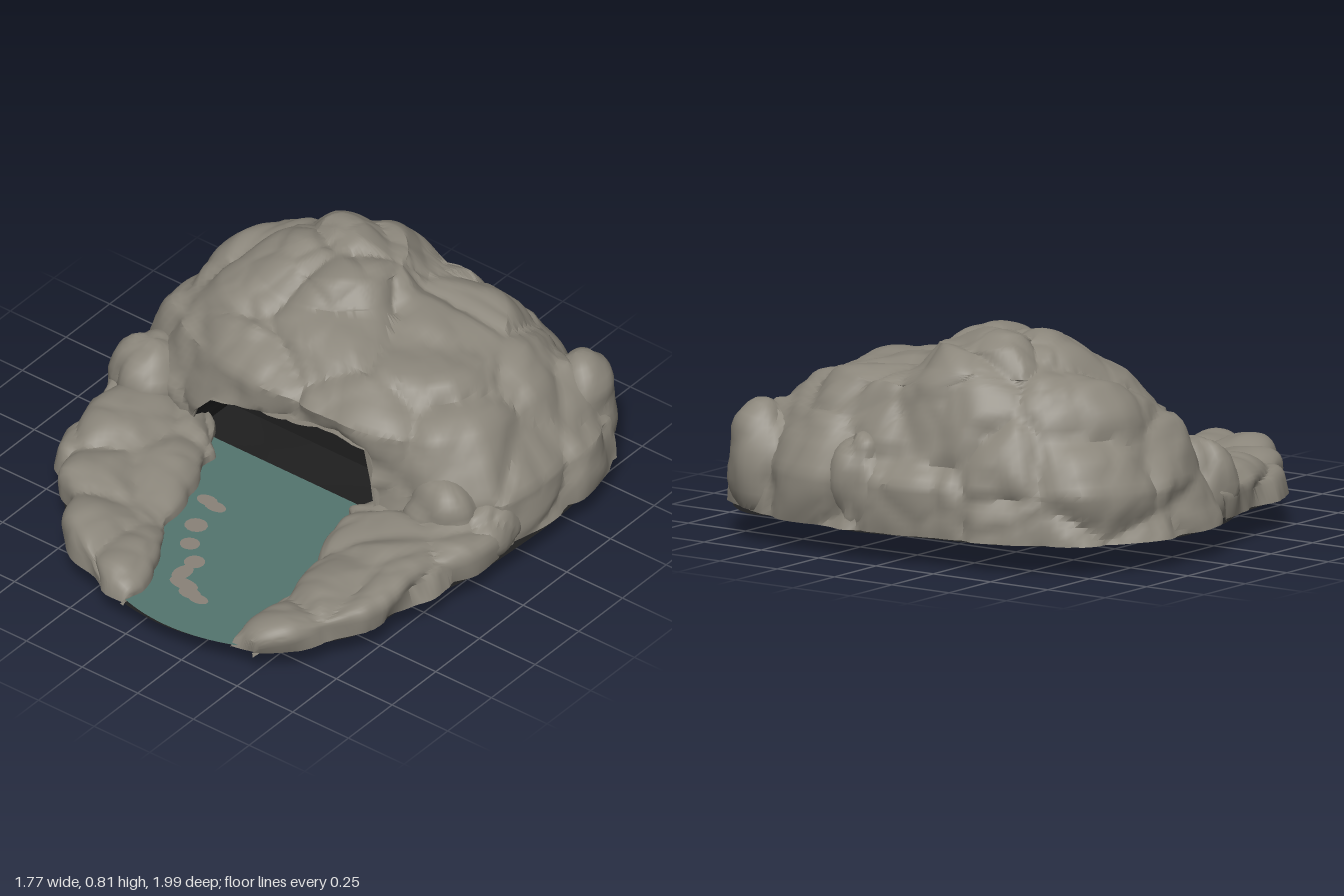
import * as THREE from 'three';
import { toCreasedNormals } from 'three/addons/utils/BufferGeometryUtils.js';

const mat = (name, color, side = THREE.FrontSide) => {
  const m = new THREE.MeshStandardMaterial({ color, side });
  m.name = name;
  return m;
};
const BASE = 0.11;

// Piecewise linear lookup in rows of [key, value, value, ...]
function lookup(table, key, col = 1) {
  if (key <= table[0][0]) return table[0][col];
  for (let i = 1; i < table.length; i++) {
    const a = table[i - 1], b = table[i];
    if (key <= b[0]) return a[col] + (b[col] - a[col]) * (key - a[0]) / (b[0] - a[0]);
  }
  return table[table.length - 1][col];
}

// Cellular noise: 1 on the face of a rock lump, 0 in the cracks between lumps
const hash = (x, y, z, k) => {
  const s = Math.sin(x * 127.1 + y * 311.7 + z * 74.7 + k * 53.3) * 43758.5453;
  return s - Math.floor(s);
};
function lumps(p, size) {
  const q = [p.x / size, p.y / size, p.z / size], c = q.map(Math.floor);
  let f1 = 9, f2 = 9;
  for (let i = -1; i < 2; i++) for (let j = -1; j < 2; j++) for (let k = -1; k < 2; k++) {
    const X = c[0] + i, Y = c[1] + j, Z = c[2] + k;
    const d = Math.hypot(X + hash(X, Y, Z, 0) - q[0], Y + hash(X, Y, Z, 1) - q[1], Z + hash(X, Y, Z, 2) - q[2]);
    if (d < f1) { f2 = f1; f1 = d; } else if (d < f2) f2 = d;
  }
  const f = Math.min(1, (f2 - f1) * 1.5);
  return f * (2 - f);
}

// Surface through rows of points, optionally closed around each row
function loft(rows, closed) {
  const n = rows[0].length, index = [], pos = [];
  rows.forEach(r => r.forEach(p => pos.push(p.x, p.y, p.z)));
  for (let i = 0; i < rows.length - 1; i++) for (let j = 0; j < (closed ? n : n - 1); j++) {
    const k = (j + 1) % n, a = i * n + j, b = i * n + k, c = b + n, d = a + n;
    index.push(a, b, c, a, c, d);
  }
  const g = new THREE.BufferGeometry();
  g.setAttribute('position', new THREE.Float32BufferAttribute(pos, 3));
  g.setIndex(index);
  g.computeVertexNormals();
  return g;
}

// Pushes a surface out into lumps and keeps creases between them
function roughen(g, amount, adjust) {
  const pos = g.attributes.position, nor = g.attributes.normal;
  const p = new THREE.Vector3(), n = new THREE.Vector3();
  for (let i = 0; i < pos.count; i++) {
    p.fromBufferAttribute(pos, i);
    n.fromBufferAttribute(nor, i);
    const d = amount * (lumps(p, 0.36) - 0.7) + amount * 0.25 * (lumps(p, 0.2) - 0.7);
    p.addScaledVector(n, d);
    p.y = Math.max(p.y, BASE);
    if (adjust) adjust(p);
    pos.setXYZ(i, p.x, p.y, p.z);
  }
  return toCreasedNormals(g, 0.75);
}

// Height of the cave mouth across x
const ARCH = [[-0.46, 0.1], [-0.42, 0.25], [-0.32, 0.36], [0, 0.41], [0.2, 0.44], [0.36, 0.43], [0.385, 0.1]];

// Mound levels: height, centre x, centre z, radii from the front round by the left
const same = r => Array(16).fill(r);
const LEVELS = [
  [BASE, 0, -0.45, [0.53, 0.57, 0.72, 0.92, 0.88, 0.9, 0.71, 0.58, 0.51, 0.52, 0.62, 0.79, 0.88, 0.94, 0.75, 0.57]],
  [0.29, 0, -0.45, [0.54, 0.58, 0.72, 0.9, 0.85, 0.87, 0.68, 0.57, 0.51, 0.51, 0.61, 0.77, 0.85, 0.89, 0.74, 0.58]],
  [0.5, 0, -0.45, [0.53, 0.57, 0.68, 0.72, 0.67, 0.70, 0.58, 0.46, 0.42, 0.43, 0.53, 0.65, 0.73, 0.77, 0.67, 0.56]],
  [0.63, -0.03, -0.45, [0.39, 0.42, 0.5, 0.56, 0.53, 0.5, 0.44, 0.38, 0.36, 0.37, 0.43, 0.52, 0.58, 0.57, 0.51, 0.42]],
  [0.68, -0.16, -0.47, [0.28, 0.27, 0.27, 0.29, 0.3, 0.3, 0.3, 0.3, 0.3, 0.3, 0.32, 0.35, 0.36, 0.36, 0.33, 0.3]],
  [0.765, -0.16, -0.48, same(0.22)],
  [0.8, -0.22, -0.5, same(0.1)],
  [0.81, -0.24, -0.5, same(0)],
];

function moundGeometry() {
  const rows = [], N = 176, SUB = 8;
  for (let i = 0; i <= (LEVELS.length - 1) * SUB; i++) {
    const k = Math.min(Math.floor(i / SUB), LEVELS.length - 2), t = i / SUB - k;
    const A = LEVELS[k], B = LEVELS[k + 1], mix = (a, b) => a + (b - a) * t, row = [];
    for (let j = 0; j < N; j++) {
      const s = j / N * 16, m = Math.floor(s), f = s - m, a = j / N * Math.PI * 2;
      const rad = L => L[3][m] * (1 - f) + L[3][(m + 1) % 16] * f;
      const r = mix(rad(A), rad(B));
      row.push(new THREE.Vector3(mix(A[1], B[1]) + Math.sin(a) * r, mix(A[0], B[0]), mix(A[2], B[2]) + Math.cos(a) * r));
    }
    rows.push(row);
  }
  return roughen(loft(rows, true), 0.045, p => {
    if (p.z > -0.2) p.y = Math.max(p.y, lookup(ARCH, p.x));
  });
}

// Rock banks: z, right edge, left edge
const RIGHT_BANK = [[-0.05, -0.87, -0.40], [0.1, -0.82, -0.28], [0.2, -0.8, -0.26], [0.35, -0.78, -0.23], [0.5, -0.71, -0.17],
  [0.6, -0.63, -0.12], [0.7, -0.5, -0.08], [0.8, -0.43, -0.04], [0.9, -0.31, -0.01], [0.99, -0.15, -0.02]];
const LEFT_BANK = [[-0.05, 0.40, 0.87], [0.1, 0.27, 0.86], [0.2, 0.32, 0.84], [0.35, 0.35, 0.79], [0.5, 0.4, 0.79],
  [0.6, 0.41, 0.77], [0.75, 0.4, 0.7], [0.85, 0.41, 0.64], [0.95, 0.42, 0.53]];
const BANK_HEIGHT = [[0.3, 0.165], [0.5, 0.14], [1, 0.135]];

function bankGeometry(table) {
  const rows = [], M = 56, z0 = table[0][0], z1 = table[table.length - 1][0];
  const outer = Math.sign(table[0][1]);
  for (let i = M; i >= 0; i--) {
    const s = i / M, z = z0 + (z1 - z0) * s, a = lookup(table, z, 1), b = lookup(table, z, 2), row = [];
    const high = lookup(BANK_HEIGHT, z) * Math.sqrt(1 - s ** 12);
    for (let j = 0; j <= 28; j++) {
      const phi = (j / 28 - 0.5) * Math.PI, u = Math.sin(phi);
      const y = BASE + high * Math.max(0, Math.cos(phi)) ** 0.45 * (0.9 + 0.2 * u * outer);
      row.push(new THREE.Vector3((a + b) / 2 + (b - a) / 2 * u, y, z));
    }
    rows.push(row);
  }
  return roughen(loft(rows, false), 0.045);
}

// Footprint, from the front round by the left: x, z
const FOOTPRINT = [[0.18, 0.99], [0.43, 0.93], [0.57, 0.86], [0.65, 0.75], [0.74, 0.6], [0.77, 0.35], [0.83, 0.15], [0.86, -0.15],
  [0.86, -0.45], [0.79, -0.77], [0.61, -0.92], [0.4, -0.89], [0.14, -0.97], [-0.15, -0.92], [-0.43, -0.87], [-0.7, -0.71],
  [-0.86, -0.45], [-0.86, -0.1], [-0.79, 0.1], [-0.75, 0.35], [-0.61, 0.58], [-0.41, 0.78], [-0.2, 0.92], [-0.05, 0.97]];
// Lumps hanging below: x, z, depth, spread
const SAGS = [[0.37, 0.3, 0.105, 0.06], [0.7, 0.03, 0.065, 0.05], [-0.47, 0.1, 0.03, 0.13], [0.3, -0.2, 0.02, 0.2], [-0.3, -0.5, 0.015, 0.2]];

function undersideGeometry() {
  const curve = new THREE.CatmullRomCurve3(FOOTPRINT.map(([x, z]) => new THREE.Vector3(x, 0, z)), true);
  const ring = curve.getPoints(120).slice(0, -1), rows = [];
  for (let i = 0; i <= 36; i++) rows.push(ring.map(p => {
    const x = p.x * i / 36, z = p.z * i / 36;
    const y = SAGS.reduce((h, [sx, sz, d, w]) => h - d * Math.exp(-((x - sx) ** 2 + (z - sz) ** 2) / (2 * w * w)), BASE - 0.003);
    return new THREE.Vector3(x, Math.max(0, y), z);
  }));
  return toCreasedNormals(loft(rows, true), 0.6);
}

// Cave lining: the mouth shape lowering to an upright back wall
function liningGeometry() {
  const rows = [[0.05, 1], [-0.05, 0.86], [-0.17, 0.64], [-0.18, 0.6], [-0.185, 0]].map(([z, k]) => {
    const row = [];
    for (let j = 0; j <= 44; j++) {
      const x = -0.46 + j / 44 * 0.85;
      row.push(new THREE.Vector3(x, BASE + Math.max(0, lookup(ARCH, x) + 0.015 - BASE) * k, z));
    }
    return row;
  });
  return toCreasedNormals(loft(rows, false), 0.6);
}

export function createModel() {
  const rock = mat('grey rock', 0x8b867b, THREE.DoubleSide);
  const water = mat('teal water', 0x54756f, THREE.DoubleSide);
  const stone = mat('pale stone', 0x8a8279);
  const dark = mat('cave dark', 0x1f1f1f, THREE.DoubleSide);
  const group = new THREE.Group();
  const add = (name, geometry, material) => {
    const m = new THREE.Mesh(geometry, material);
    m.name = name;
    group.add(m);
  };

  add('caveMound', moundGeometry(), rock);
  add('rightBank', bankGeometry(RIGHT_BANK), rock);
  add('leftBank', bankGeometry(LEFT_BANK), rock);
  add('underside', undersideGeometry(), dark);
  add('caveLining', liningGeometry(), dark);

  // Boulders leaning on the mound: centre, radii
  [[-0.68, 0.2, -0.02, 0.17, 0.22, 0.16], [0.63, 0.25, -0.77, 0.17, 0.25, 0.18], [0.77, 0.16, -0.1, 0.11, 0.14, 0.16],
    [0.62, 0.2, -0.02, 0.17, 0.17, 0.13], [0.14, 0.25, -0.88, 0.13, 0.22, 0.12]].forEach(([x, y, z, a, b, c]) => {
    const rows = [];
    for (let i = 0; i <= 20; i++) {
      const v = (i / 20 - 0.5) * Math.PI, row = [];
      for (let j = 0; j < 32; j++) {
        const w = j / 16 * Math.PI, r = Math.cos(v);
        row.push(new THREE.Vector3(x + a * r * Math.sin(w), y + b * Math.sin(v), z + c * r * Math.cos(w)));
      }
      rows.push(row);
    }
    add('boulder', roughen(loft(rows, true), 0.04), rock);
  });

  // Water between the banks, with a rounded front edge
  const pool = new THREE.Shape();
  pool.moveTo(-0.42, 0.02);
  [[-0.36, 0.25], [-0.22, 0.6], [-0.1, 0.93], [-0.04, 0.965]].forEach(([x, z]) => pool.lineTo(x, z));
  pool.quadraticCurveTo(0.2, 1.045, 0.45, 0.94);
  [[0.5, 0.6], [0.46, 0.3], [0.39, 0.02]].forEach(([x, z]) => pool.lineTo(x, z));
  add('water', new THREE.ShapeGeometry(pool, 16).rotateX(Math.PI / 2).translate(0, 0.122, 0), water);

  // Stepping stones: x, z, radius x, radius z
  [[-0.16, 0.33, 0.042, 0.029], [-0.115, 0.342, 0.045, 0.027], [-0.1, 0.47, 0.043, 0.04], [-0.05, 0.57, 0.037, 0.035],
    [0.03, 0.645, 0.038, 0.038], [0.035, 0.72, 0.032, 0.05], [0.08, 0.77, 0.06, 0.03], [0.13, 0.8, 0.045, 0.03],
    [0.175, 0.81, 0.042, 0.025]].forEach(([x, z, a, b], i) =>
    add('steppingStone', new THREE.CircleGeometry(1, 14).rotateX(-Math.PI / 2).scale(a, 1, b).translate(x, 0.1235 + i * 0.0001, z), stone));
  return group;
}
